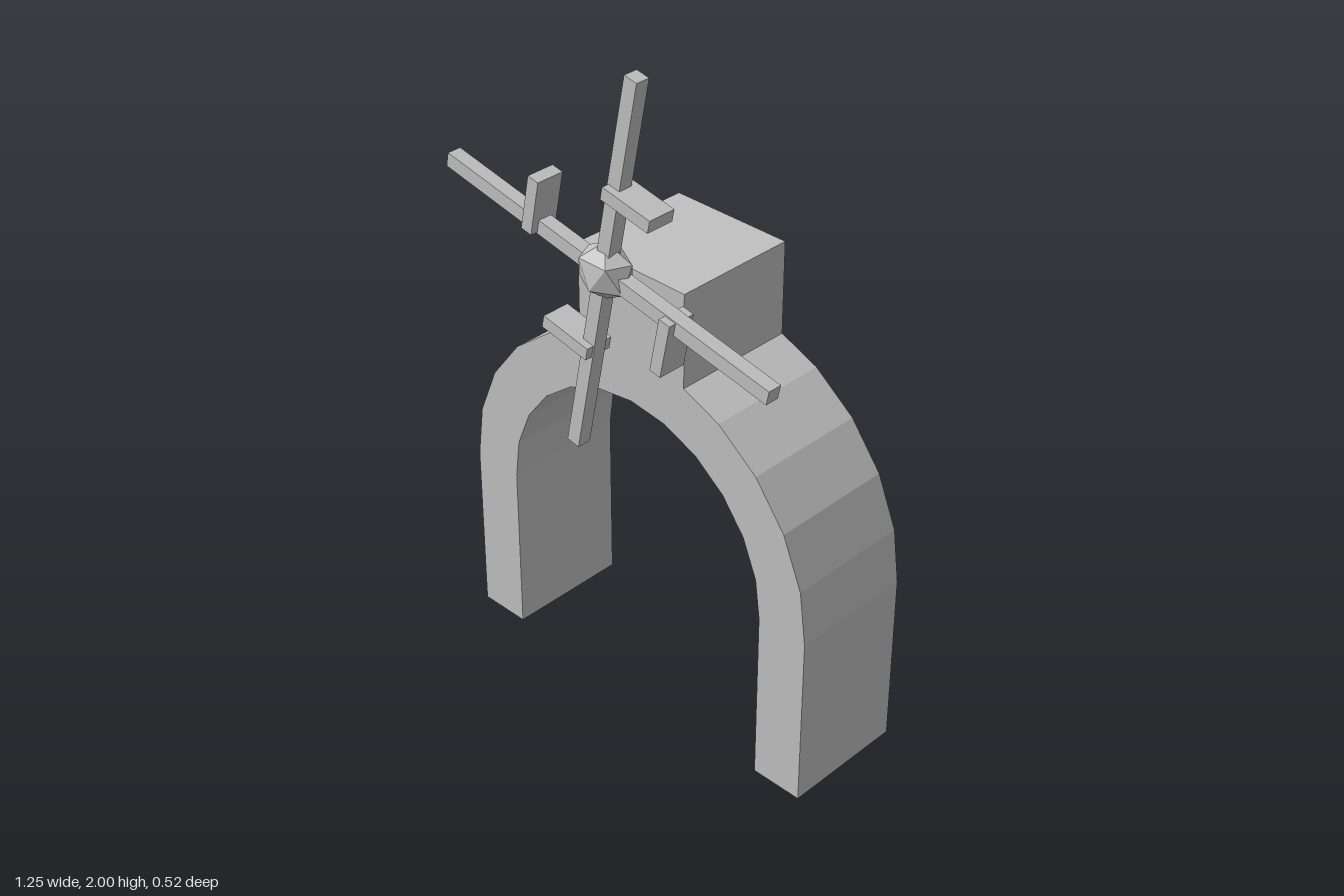
import * as THREE from 'three';

export function createModel() {
  const model = new THREE.Group();
  const stone = new THREE.MeshStandardMaterial({ color: 0xc0c0c0, flatShading: true });
  stone.name = 'lightGrey';

  const add = (parent, name, geometry) => {
    const mesh = new THREE.Mesh(geometry, stone);
    mesh.name = name;
    parent.add(mesh);
    return mesh;
  };

  // Arch with a square block on its crown, cut from one outline
  const springY = 0.53, outerR = 0.625, innerR = 0.467;
  const blockX = 0.19, blockTop = 1.4, shoulderY = 1.122;
  const arcPoint = (r, step) => {
    const a = (step * Math.PI) / 12;
    return new THREE.Vector2(r * Math.cos(a), springY + r * Math.sin(a));
  };
  const outline = [new THREE.Vector2(outerR, 0)];
  for (let i = 0; i <= 4; i++) outline.push(arcPoint(outerR, i));
  outline.push(
    new THREE.Vector2(blockX, shoulderY), new THREE.Vector2(blockX, blockTop),
    new THREE.Vector2(-blockX, blockTop), new THREE.Vector2(-blockX, shoulderY)
  );
  for (let i = 8; i <= 12; i++) outline.push(arcPoint(outerR, i));
  outline.push(new THREE.Vector2(-outerR, 0), new THREE.Vector2(-innerR, 0));
  for (let i = 12; i >= 0; i--) outline.push(arcPoint(innerR, i));
  outline.push(new THREE.Vector2(innerR, 0));
  const arch = add(model, 'archTower',
    new THREE.ExtrudeGeometry(new THREE.Shape(outline), { depth: 0.375, bevelEnabled: false }));
  arch.position.z = -0.26;

  // Rotor in front of the block
  const rotor = new THREE.Group();
  rotor.name = 'rotor';
  rotor.position.set(0, 1.428, 0.2);
  model.add(rotor);

  // Faceted hub standing on a vertex
  const hubGeometry = new THREE.IcosahedronGeometry(1, 0);
  hubGeometry.rotateX(-Math.atan((1 + Math.sqrt(5)) / 2));
  hubGeometry.rotateY(Math.PI);
  hubGeometry.scale(0.09, 0.082, 0.066);
  add(rotor, 'hub', hubGeometry);

  // Four arms, each with one paddle
  const armLength = 0.577;
  for (let i = 0; i < 4; i++) {
    const sail = new THREE.Group();
    sail.name = 'sail' + (i + 1);
    sail.rotation.z = -0.198 + (i * Math.PI) / 2;
    rotor.add(sail);
    add(sail, 'arm', new THREE.BoxGeometry(0.042, armLength, 0.042)).position.y = armLength / 2;
    add(sail, 'paddle', new THREE.BoxGeometry(0.164, 0.037, 0.085)).position.set(0.065, 0.246, 0);
  }
  return model;
}
